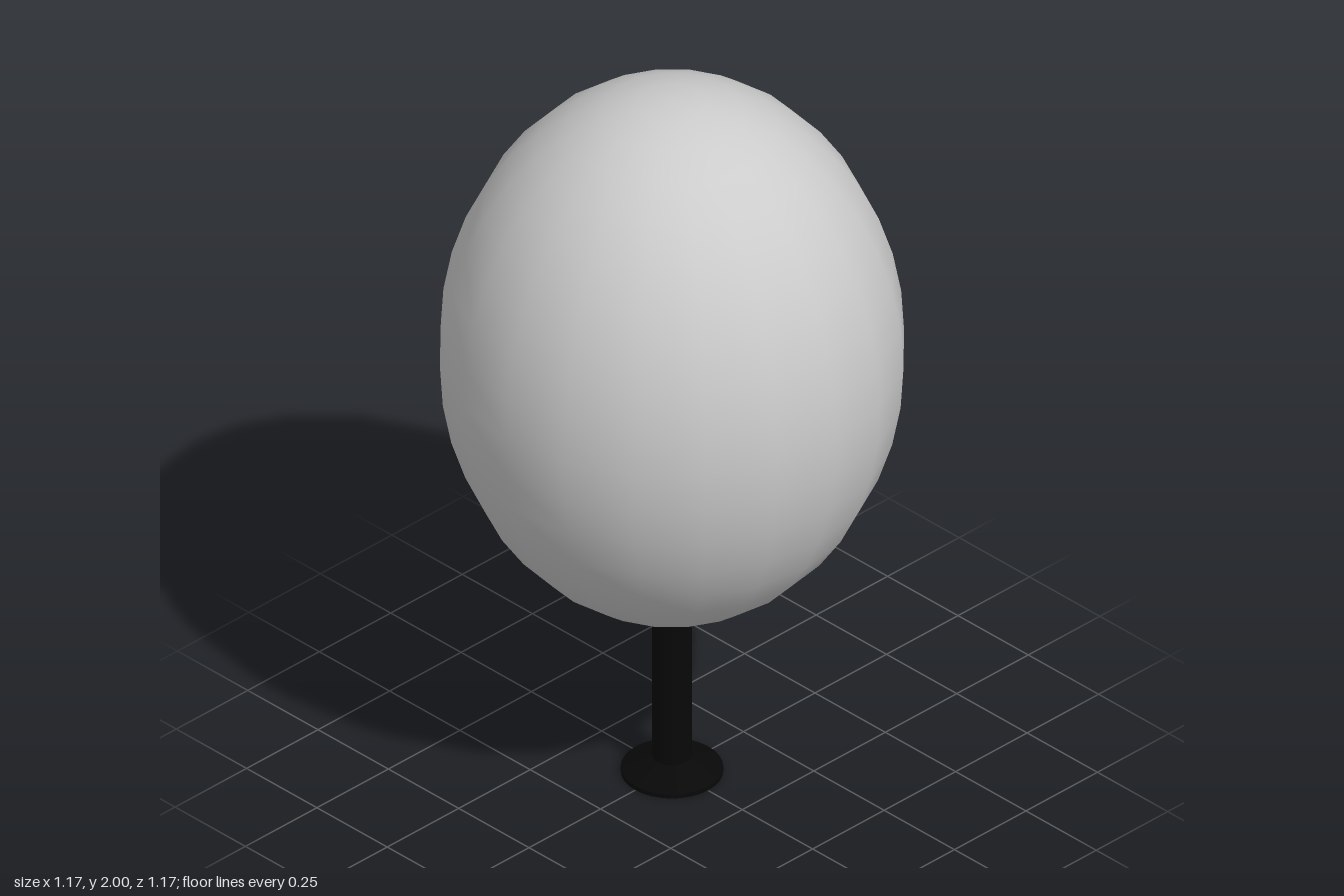
import * as THREE from 'three';

export function createModel() {
  const model = new THREE.Group();
  const grey = new THREE.MeshStandardMaterial({ color: 0xcccccc });
  const black = new THREE.MeshStandardMaterial({ color: 0x080808 });

  const add = (name, geometry, material, y = 0) => {
    const mesh = new THREE.Mesh(geometry, material);
    mesh.name = name;
    mesh.position.y = y;
    model.add(mesh);
    return mesh;
  };

  // Tall ellipsoid body
  const body = new THREE.SphereGeometry(1, 20, 20).scale(0.585, 0.74, 0.585);
  add('body', body, grey, 1.26);

  // Round stem, its top tucked just inside the body
  add('stem', new THREE.CylinderGeometry(0.05, 0.05, 0.51, 32), black, 0.285);

  // Foot: thin rim, with a cone sloping up to the stem
  add('footRim', new THREE.CylinderGeometry(0.128, 0.128, 0.012, 32), black, 0.006);
  add('footCone', new THREE.CylinderGeometry(0.05, 0.128, 0.036, 32, 1, true), black, 0.03);

  return model;
}
